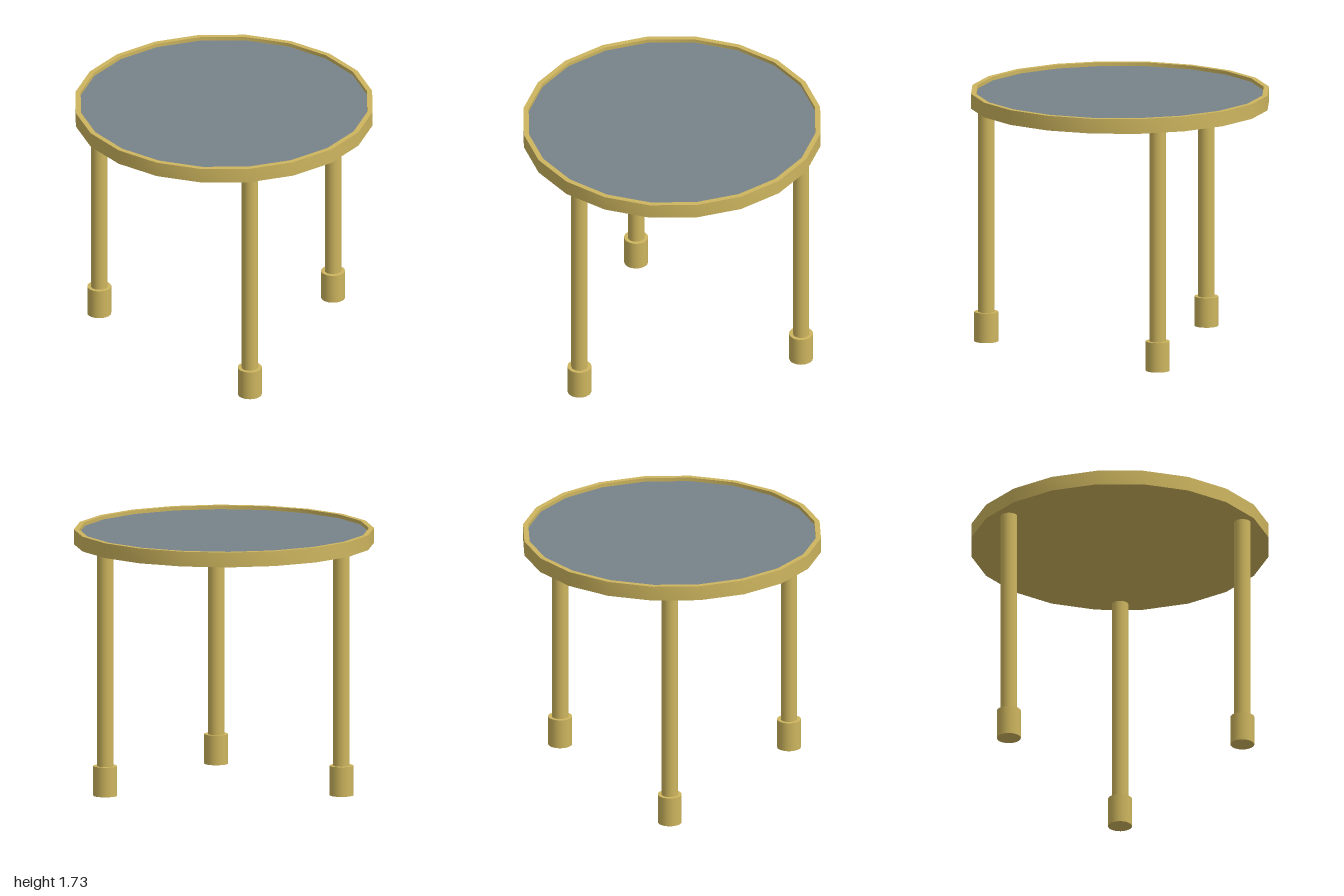
import * as THREE from 'three';
import { toCreasedNormals } from 'three/addons/utils/BufferGeometryUtils.js';

const SIDES = 20;
const UNDERSIDE = 1.63, RIM_TOP = 1.73, PANEL_TOP = 1.705;
const RIM_INNER = 0.965;

export function createModel() {
  const model = new THREE.Group();
  model.name = 'sideTable';

  const brass = new THREE.MeshStandardMaterial({ color: 0xcdb55e });
  const glass = new THREE.MeshStandardMaterial({ color: 0x78838a });

  function add(parent, name, geometry, material, y = 0) {
    const mesh = new THREE.Mesh(geometry, material);
    mesh.name = name;
    mesh.position.y = y;
    parent.add(mesh);
  }

  // Tray: underside, outer wall, rim and the inner wall of the recess
  const profile = [
    [0, UNDERSIDE], [1, UNDERSIDE], [1, RIM_TOP],
    [RIM_INNER, RIM_TOP], [RIM_INNER, PANEL_TOP - 0.02],
  ].map(([r, y]) => new THREE.Vector2(r, y));
  add(model, 'tray', toCreasedNormals(new THREE.LatheGeometry(profile, SIDES), 0.6), brass);

  // Inset panel, sunk slightly below the rim
  const panel = new THREE.CylinderGeometry(RIM_INNER, RIM_INNER, 0.02, SIDES);
  add(model, 'insetPanel', panel, glass, PANEL_TOP - 0.01);

  // Three legs, each a slim post in a thicker foot
  const footHeight = 0.2;
  const postHeight = UNDERSIDE - footHeight;
  const post = new THREE.CylinderGeometry(0.055, 0.055, postHeight, 24);
  const foot = new THREE.CylinderGeometry(0.08, 0.08, footHeight, 24);
  const legs = { frontLeg: [0.55, 0.715], sideLeg: [-0.88, 0.097], backLeg: [0.41, -0.803] };
  for (const [name, [x, z]] of Object.entries(legs)) {
    const leg = new THREE.Group();
    leg.name = name;
    leg.position.set(x, 0, z);
    add(leg, 'post', post, brass, footHeight + postHeight / 2);
    add(leg, 'foot', foot, brass, footHeight / 2);
    model.add(leg);
  }

  return model;
}
